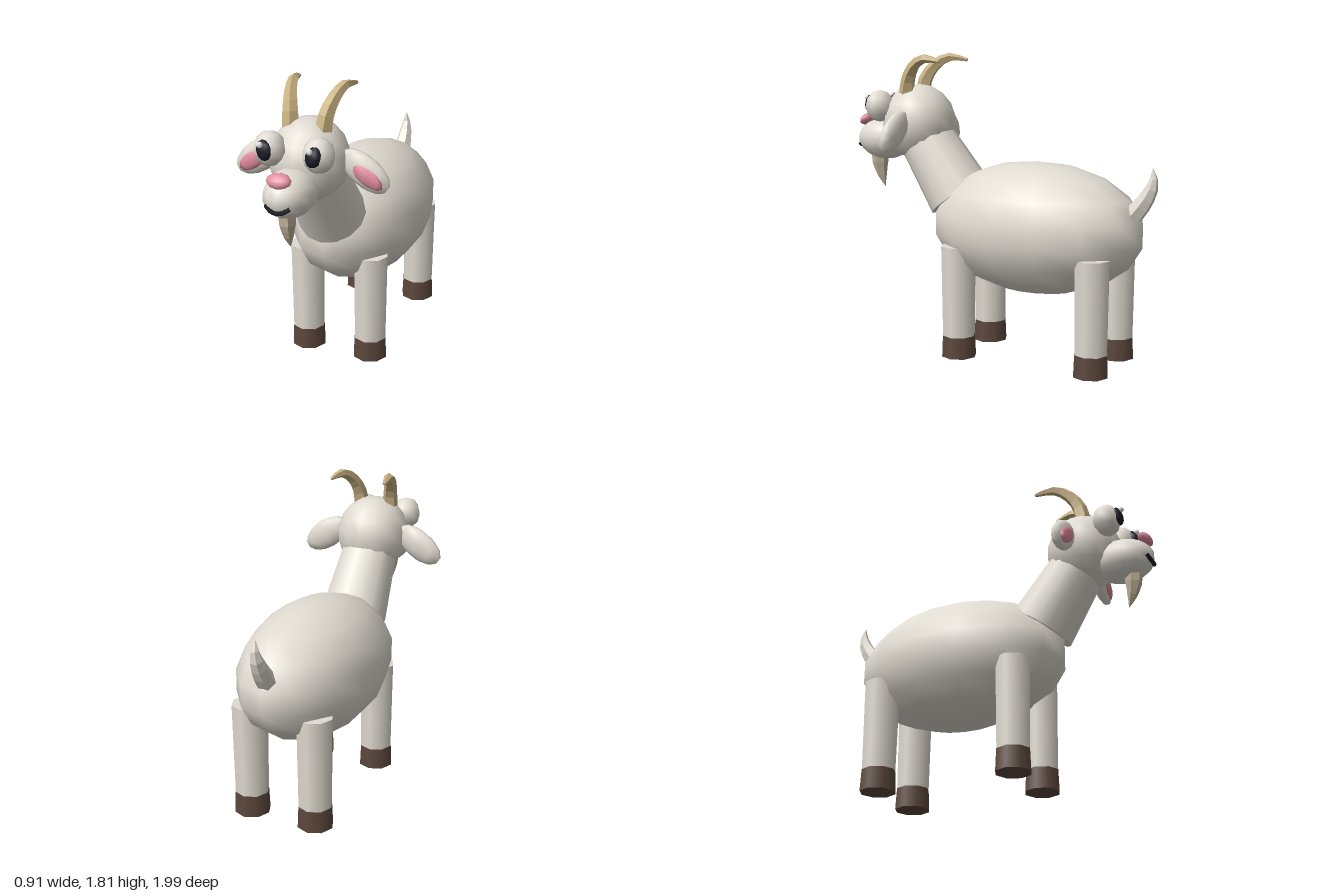
import * as THREE from 'three';

const mat = (name, color) => {
  const m = new THREE.MeshStandardMaterial({ color });
  m.name = name;
  return m;
};

export function createModel() {
  const goat = new THREE.Group();
  goat.name = 'goat';
  const fur = mat('fur', 0xe0dbd1);
  const horn = mat('horn', 0xc9b283);
  const beardHair = mat('beardHair', 0xc2b49b);
  const hoofBrown = mat('hoofBrown', 0x5c473c);
  const pink = mat('pink', 0xe08c9f);
  const black = mat('black', 0x1c1b26);
  const white = mat('white', 0xf4f4f4);

  const add = (name, geo, material, x = 0, y = 0, z = 0) => {
    const mesh = new THREE.Mesh(geo, material);
    mesh.name = name;
    mesh.position.set(x, y, z);
    goat.add(mesh);
    return mesh;
  };

  // Ellipsoid with a corner of its outline facing front and back
  const ball = (rx, ry, rz, w = 14, h = 9) =>
    new THREE.SphereGeometry(1, w, h).rotateY(Math.PI / 2).scale(rx, ry, rz);

  // Faceted tube along a curve, with radii interpolated from base to tip
  const taper = (points, radii, sides, steps, flat = true) => {
    const curve = new THREE.CatmullRomCurve3(points.map((p) => new THREE.Vector3(...p)));
    let geo = new THREE.TubeGeometry(curve, steps, 1, sides);
    const pos = geo.attributes.position;
    const v = new THREE.Vector3();
    for (let k = 0; k < pos.count; k++) {
      const t = Math.floor(k / (sides + 1)) / steps;
      const f = t * (radii.length - 1);
      const i = Math.min(Math.floor(f), radii.length - 2);
      const r = THREE.MathUtils.lerp(radii[i], radii[i + 1], f - i);
      const c = curve.getPointAt(t);
      v.fromBufferAttribute(pos, k).sub(c).multiplyScalar(r).add(c);
      pos.setXYZ(k, v.x, v.y, v.z);
    }
    if (flat) geo = geo.toNonIndexed();
    geo.computeVertexNormals();
    return geo;
  };

  // Torso, neck and head
  add('body', ball(0.395, 0.395, 0.675), fur, 0, 0.795, -0.245);
  const neck = add('neck', new THREE.CylinderGeometry(0.165, 0.203, 0.5, 14), fur, 0, 1.15, 0.418);
  neck.rotation.x = 0.607;
  add('head', ball(0.225, 0.235, 0.228), fur, 0, 1.39, 0.567);
  add('muzzle', ball(0.142, 0.13, 0.188), fur, 0, 1.278, 0.81);

  // Nose and mouth
  const nose = add('nose', ball(0.072, 0.033, 0.048, 10, 7), pink, 0, 1.395, 0.948);
  nose.rotation.x = 0.65;
  const smile = new THREE.CatmullRomCurve3([-0.07, -0.04, 0, 0.04, 0.07].map((x) =>
    new THREE.Vector3(x, 1.228 + 6 * x * x, 0.988 - 4 * x * x)));
  add('mouth', new THREE.TubeGeometry(smile, 8, 0.013, 5), black);

  // Beard
  add('beard', taper([[0, 1.2, 0.86], [0, 1.13, 0.862], [0, 1.05, 0.85], [0, 0.97, 0.826]],
    [0.056, 0.05, 0.03, 0.001], 6, 6), beardHair);

  // Tail
  add('tail', taper([[0, 0.88, -0.82], [0, 0.97, -0.895], [0, 1.06, -0.95], [0, 1.13, -0.968], [0, 1.19, -0.962]],
    [0.06, 0.058, 0.048, 0.034, 0.002], 6, 6), fur);

  for (const s of [1, -1]) {
    const side = s > 0 ? 'left' : 'right';

    // Legs and hooves
    for (const [end, z] of [['Front', 0.178], ['Back', -0.685]]) {
      add(side + end + 'Leg', new THREE.CylinderGeometry(0.107, 0.1, 0.55, 8), fur, s * 0.205, 0.405, z);
      add(side + end + 'Hoof', new THREE.CylinderGeometry(0.101, 0.107, 0.13, 8), hoofBrown, s * 0.205, 0.065, z);
    }

    // Horns sweeping up, back and slightly outward
    add(side + 'Horn', taper([[s * 0.095, 1.54, 0.6], [s * 0.105, 1.65, 0.58], [s * 0.128, 1.735, 0.525],
      [s * 0.152, 1.785, 0.44], [s * 0.172, 1.772, 0.328]],
      [0.05, 0.045, 0.037, 0.028, 0.012], 5, 8), horn);
    add(side + 'HornTip', new THREE.SphereGeometry(0.012, 5, 4), horn, s * 0.172, 1.772, 0.328);

    // Drooping ears with pink inner faces
    const ear = add(side + 'Ear', ball(0.17, 0.09, 0.048, 10, 7), fur, s * 0.315, 1.355, 0.55);
    ear.rotation.z = -s * 0.6;
    const inner = add(side + 'InnerEar', ball(0.108, 0.05, 0.024, 8, 6), pink, s * 0.338, 1.338, 0.581);
    inner.rotation.z = -s * 0.6;

    // Bulging eyes with pupil and glint
    add(side + 'Eye', ball(0.092, 0.098, 0.088, 8, 6), fur, s * 0.143, 1.492, 0.762);
    const pupil = add(side + 'Pupil', ball(0.045, 0.058, 0.034, 8, 6), black, s * 0.143, 1.503, 0.83);
    pupil.rotation.set(-0.15, s * 0.15, -s * 0.25);
    add(side + 'Glint', new THREE.SphereGeometry(0.018, 6, 5), white, s * 0.143 - 0.01, 1.54, 0.857);
  }
  return goat;
}
